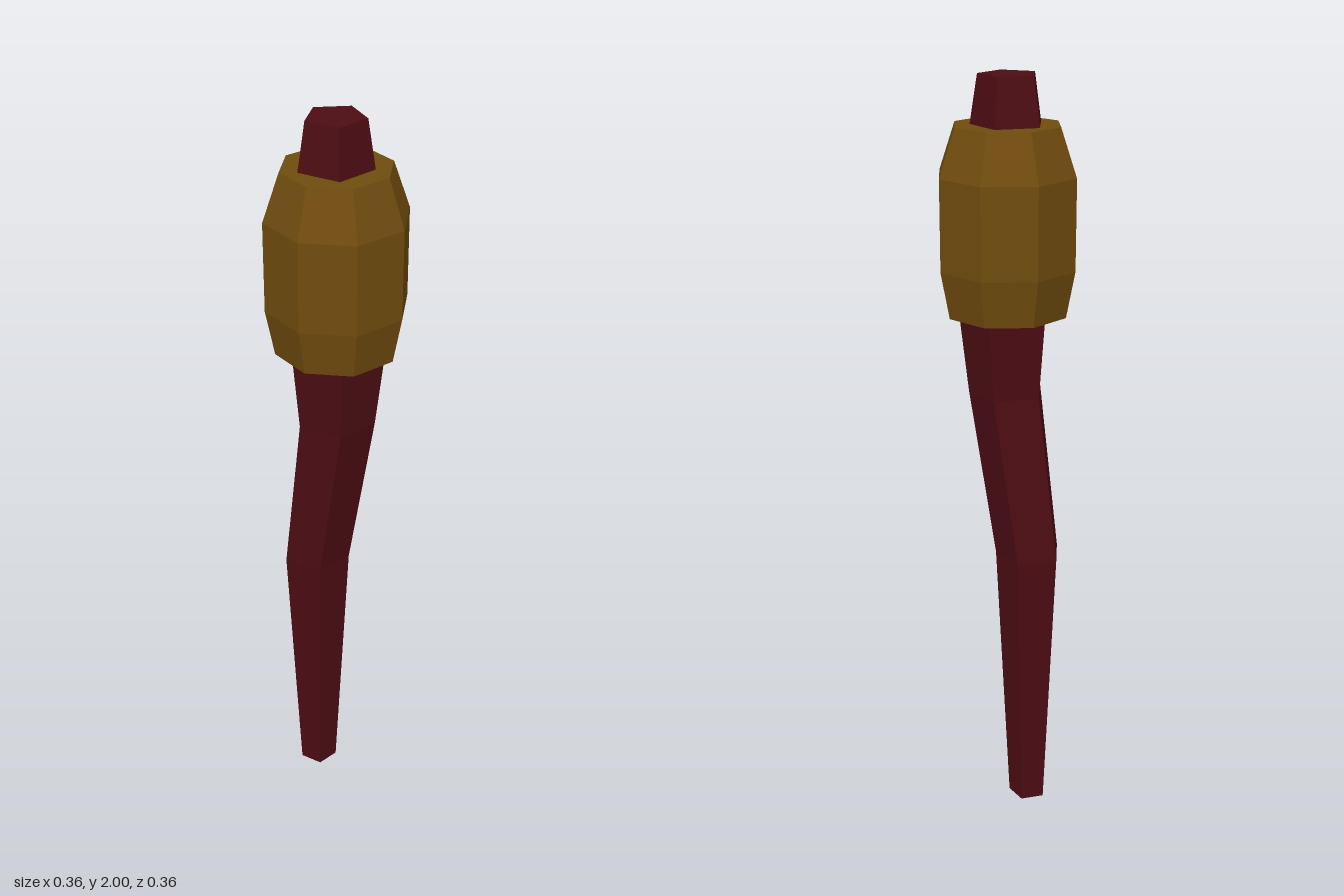
import * as THREE from 'three';

// Faceted solid through a list of rings [y, radius, centre x], bottom to top
function ringStack(name, sides, rings, color) {
  const steps = rings.length - 1;
  const geo = new THREE.CylinderGeometry(1, 1, 1, sides, steps);
  geo.rotateY(Math.PI); // puts a corner at the back
  const pos = geo.attributes.position;
  for (let i = 0; i < pos.count; i++) {
    const [y, r, cx] = rings[Math.round((pos.getY(i) + 0.5) * steps)];
    pos.setXYZ(i, pos.getX(i) * r + cx, y, pos.getZ(i) * r);
  }
  geo.computeVertexNormals();
  const mesh = new THREE.Mesh(geo, new THREE.MeshStandardMaterial({ color, flatShading: true }));
  mesh.name = name;
  return mesh;
}

export function createModel() {
  const model = new THREE.Group();
  model.name = 'handle';

  // Bent five-sided shaft, tapering to the foot and to the tip
  model.add(ringStack('shaft', 5, [
    [0, 0.053, -0.064],
    [0.75, 0.09, -0.064],
    [1.2, 0.101, -0.002],
    [1.41, 0.122, 0.001],
    [1.88, 0.095, -0.004],
    [2, 0.076, -0.004],
  ], 0x4c0d13));

  // Eight-sided collar around the upper shaft
  model.add(ringStack('collar', 8, [
    [1.41, 0.157, 0],
    [1.53, 0.18, 0],
    [1.76, 0.18, 0],
    [1.88, 0.138, 0],
  ], 0x704c0e));

  return model;
}
